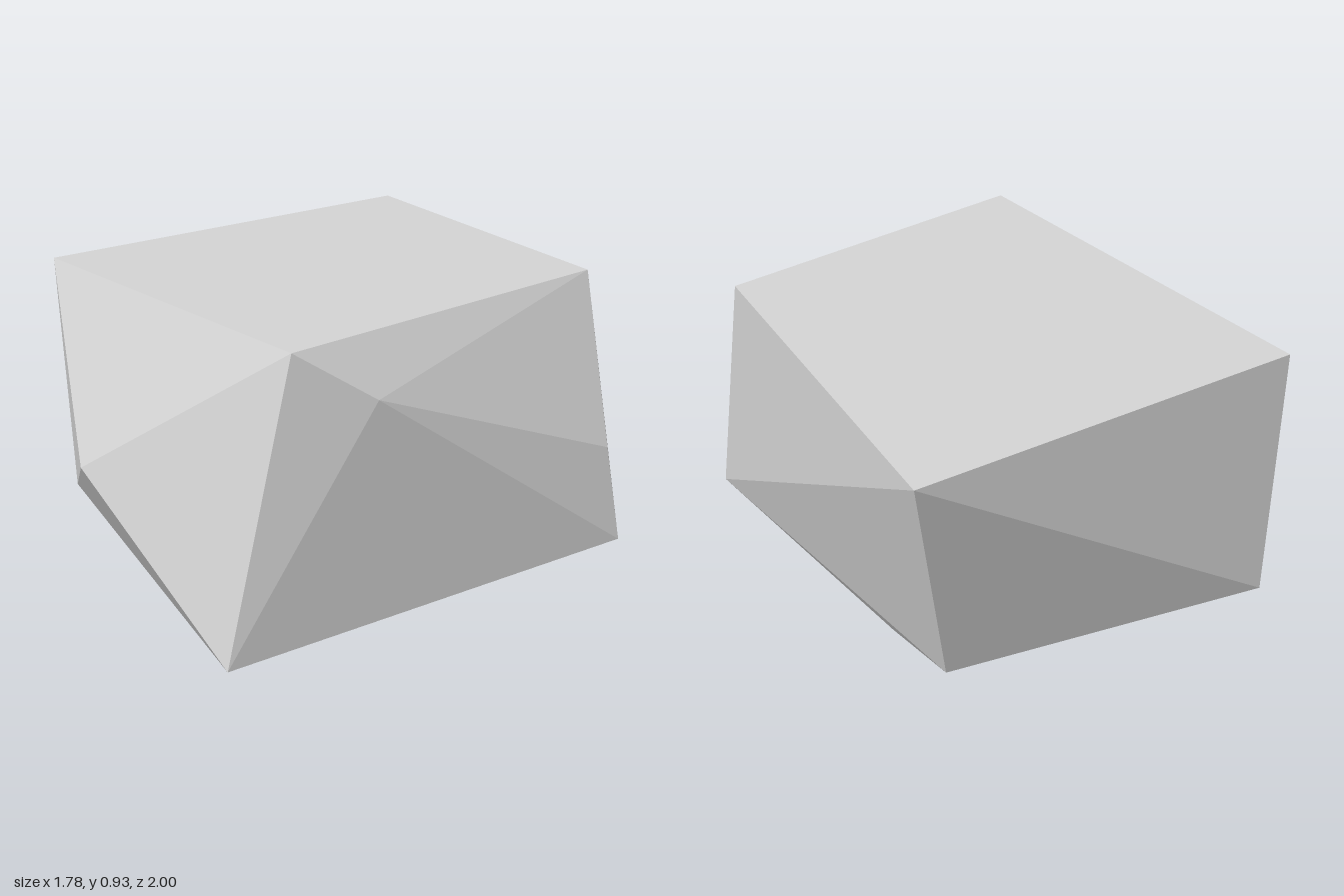
import * as THREE from 'three';

// Corner points of the boulder
const corners = {
  // upper rim
  A: [-0.89, 0.855, -0.23], B: [-0.085, 0.93, 0.92], C: [0.775, 0.93, 0.155], D: [0.213, 0.88, -1.0],
  // chipped corners around the middle
  E: [-0.72, 0.41, 0.45], F: [0.14, 0.77, 0.83], G: [0.838, 0.43, 0.33],
  // base
  H: [-0.26, 0.055, 1.0], I: [0.89, 0.127, 0.33], J: [-0.865, 0.04, -0.26],
  K: [0.3, 0, -0.39], L: [0.14, 0.097, -0.73],
};

// Facets, counter-clockwise from outside
const facets = [
  'ABD BCD',                 // top
  'BAE BEH EAJ EJH',         // front left chips
  'BHF BFC CFG GFI FHI',     // front right chips
  'CGI DCI DIL',             // back right
  'ADJ JDL',                 // back left
  'LIK JLK HJK IHK',         // underside
].join(' ').split(' ');

export function createModel() {
  const stone = new THREE.MeshStandardMaterial({ color: 0xd6d6d6 });
  stone.name = 'paleStone';

  // Unshared corners keep every facet flat
  const positions = facets.flatMap((f) => [...f].flatMap((c) => corners[c]));
  const geometry = new THREE.BufferGeometry();
  geometry.setAttribute('position', new THREE.Float32BufferAttribute(positions, 3));
  geometry.computeVertexNormals();

  const boulder = new THREE.Mesh(geometry, stone);
  boulder.name = 'boulder';

  const model = new THREE.Group();
  model.name = 'rock';
  model.add(boulder);
  return model;
}
